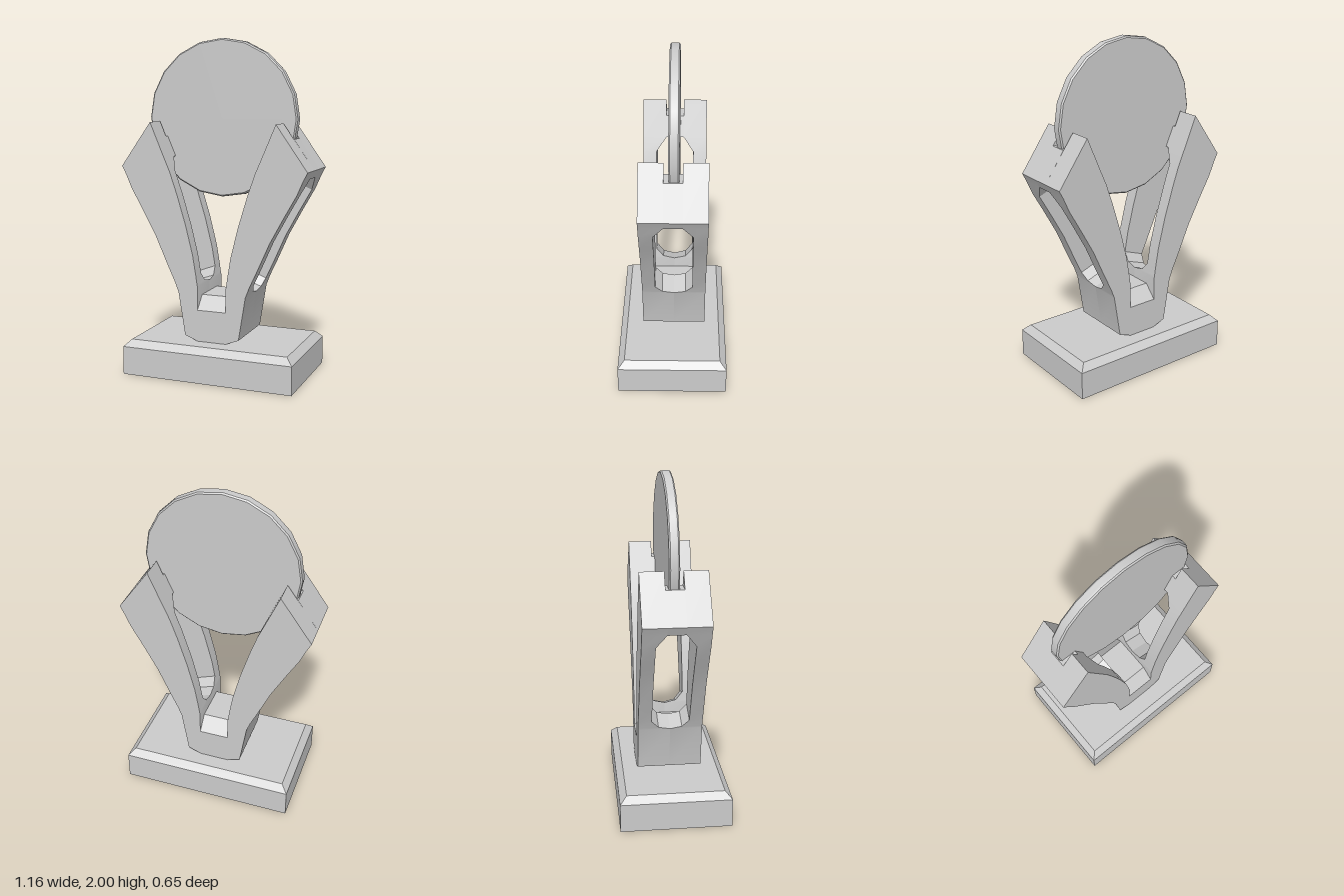
import * as THREE from 'three';
import { toCreasedNormals } from 'three/addons/utils/BufferGeometryUtils.js';

const material = new THREE.MeshStandardMaterial({ color: 0xcccccc });

function addMesh(parent, name, geometry) {
  const mesh = new THREE.Mesh(geometry, material);
  mesh.name = name;
  parent.add(mesh);
  return mesh;
}

// Closed skin through rings of four points, each counter-clockwise from above
function loft(rings) {
  const index = [];
  const last = (rings.length - 1) * 4;
  for (let i = 0; i < last; i += 4) {
    for (let j = 0; j < 4; j++) {
      const a = i + j, b = i + (j + 1) % 4;
      index.push(a, b, b + 4, a, b + 4, a + 4);
    }
  }
  index.push(0, 2, 1, 0, 3, 2, last, last + 1, last + 2, last, last + 2, last + 3);
  const geometry = new THREE.BufferGeometry();
  geometry.setAttribute('position', new THREE.Float32BufferAttribute(rings.flat(2), 3));
  geometry.setIndex(index);
  return toCreasedNormals(geometry, 0.5);
}

function extrude(points, depth) {
  const shape = new THREE.Shape(points.map(([x, y]) => new THREE.Vector2(x, y)));
  return new THREE.ExtrudeGeometry(shape, { depth, bevelEnabled: false }).translate(0, 0, -depth / 2);
}

// Arm stations: inner x, inner y, outer x, outer y, half width of the opening
const HALF_DEPTH = 0.192;
const SLOT = 0.053;
const stations = [
  [0.09, 0.21, 0.17, 0.24, 0],
  [0.09, 0.545, 0.212, 0.5, 0],
  [0.093, 0.56, 0.218, 0.515, 0.07],
  [0.1, 0.61, 0.235, 0.56, 0.112],
  [0.12, 0.73, 0.282, 0.66, 0.112],
  [0.165, 0.91, 0.358, 0.83, 0.112],
  [0.22, 1.09, 0.44, 0.98, 0.112],
  [0.265, 1.22, 0.517, 1.115, 0.112],
  [0.3, 1.3, 0.552, 1.195, SLOT],
  [0.39, 1.51, 0.578, 1.245, SLOT],
];

function createArm() {
  const arm = new THREE.Group();
  const rail = (z0, z1) => loft(stations.map(([ix, iy, ox, oy, w]) => {
    const front = z0 ?? w, back = z1 ?? -w;
    return [[ox, oy, front], [ox, oy, back], [ix, iy, back], [ix, iy, front]];
  }));
  // Front and back rails, joined below the window
  const frontRail = loft(stations.map(([ix, iy, ox, oy, w]) =>
    [[ox, oy, HALF_DEPTH], [ox, oy, w], [ix, iy, w], [ix, iy, HALF_DEPTH]]));
  addMesh(arm, 'frontRail', frontRail);
  addMesh(arm, 'backRail', rail(null, -HALF_DEPTH).applyMatrix4(new THREE.Matrix4())).geometry =
    loft(stations.map(([ix, iy, ox, oy, w]) =>
      [[ox, oy, -w], [ox, oy, -HALF_DEPTH], [ix, iy, -HALF_DEPTH], [ix, iy, -w]]));
  // Bridge above the window, cut down to form the disc slot
  addMesh(arm, 'slottedBridge', extrude(
    [[0.3, 1.3], [0.552, 1.195], [0.578, 1.245], [0.455, 1.42], [0.352, 1.42]], SLOT * 2));
  return arm;
}

export function createModel() {
  const model = new THREE.Group();
  model.name = 'discTrophy';

  // Base slab with chamfered top edges
  const baseRing = (y, inset) => {
    const x = 0.528 - inset, z = 0.327 - inset;
    return [[x, y, z], [x, y, -z], [-x, y, -z], [-x, y, z]];
  };
  const base = addMesh(model, 'base', loft([baseRing(0, 0), baseRing(0.17, 0), baseRing(0.21, 0.04)]));
  base.position.x = 0.013;

  // Mirrored pair of arms
  ['leftArm', 'rightArm'].forEach((name, i) => {
    const arm = createArm();
    arm.name = name;
    arm.rotation.y = i * Math.PI;
    arm.position.z = -0.006;
    model.add(arm);
  });

  // Centre block between the arms, sloped at front and back
  const block = addMesh(model, 'centreBlock', extrude(
    [[-0.192, 0.21], [0.192, 0.21], [0.192, 0.4], [0.117, 0.48], [-0.117, 0.48], [-0.192, 0.4]], 0.18));
  block.rotation.y = Math.PI / 2;
  block.position.z = -0.006;

  // Twenty-sided disc with a softened rim
  const rim = [[0, -0.03], [0.458, -0.03], [0.466, -0.022], [0.468, -0.01],
    [0.468, 0.01], [0.466, 0.022], [0.458, 0.03], [0, 0.03]];
  const discGeometry = new THREE.LatheGeometry(rim.map(([r, y]) => new THREE.Vector2(r, y)), 20);
  const disc = addMesh(model, 'disc', toCreasedNormals(discGeometry, 0.6));
  disc.rotation.x = Math.PI / 2;
  disc.position.set(0, 1.532, -0.01);

  return model;
}
